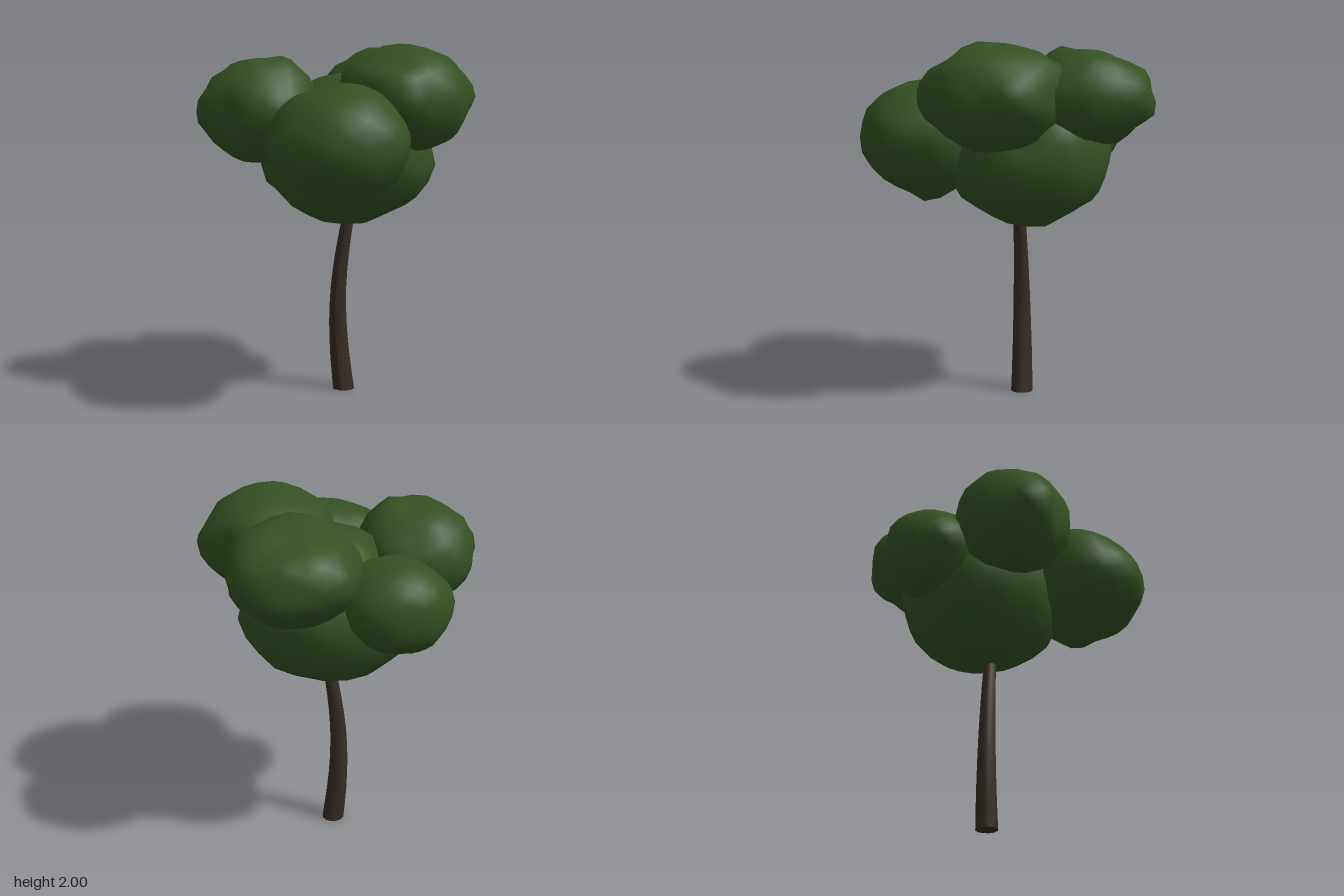
import * as THREE from 'three';
import { mergeVertices } from 'three/addons/utils/BufferGeometryUtils.js';

const leafGreen = new THREE.MeshStandardMaterial({ color: 0x345122 });
leafGreen.name = 'leafGreen';
const barkBrown = new THREE.MeshStandardMaterial({ color: 0x372c23 });
barkBrown.name = 'barkBrown';

// Small seeded random generator
function seeded(seed) {
  let s = seed * 7919 + 13;
  return () => (s = (s * 16807) % 2147483647) / 2147483647;
}

// Lumpy ball of leaves: an ellipsoid pulled out to three outlines through its
// centre, front [x, y], side [z, y] and top [x, z]
function foliageClump(name, seed, center, radii, { front = [], side = [], top = [] }) {
  const rand = seeded(seed);
  const c = new THREE.Vector3(...center);
  const r = new THREE.Vector3(...radii);
  const bulges = [
    ...front.map(([x, y]) => new THREE.Vector3(x, y, c.z)),
    ...side.map(([z, y]) => new THREE.Vector3(c.x, y, z)),
    ...top.map(([x, z]) => new THREE.Vector3(x, c.y, z)),
  ].map((p) => {
    p.sub(c).divide(r);
    const reach = p.length();
    return { dir: p.normalize(), reach };
  });

  let geo = new THREE.IcosahedronGeometry(1, 4);
  geo.deleteAttribute('normal');
  geo.deleteAttribute('uv');
  geo = mergeVertices(geo, 1e-3);
  const pos = geo.attributes.position;
  const v = new THREE.Vector3();
  for (let i = 0; i < pos.count; i++) {
    v.fromBufferAttribute(pos, i).normalize();
    let sum = 0;
    let weight = 0.06;
    for (const { dir, reach } of bulges) {
      const w = Math.exp(42 * (v.dot(dir) - 1));
      sum += w * (reach - 1);
      weight += w;
    }
    v.multiplyScalar(1.005 + sum / weight + (rand() - 0.5) * 0.035).multiply(r).add(c);
    pos.setXYZ(i, v.x, v.y, v.z);
  }
  geo.computeVertexNormals();
  const mesh = new THREE.Mesh(geo, leafGreen);
  mesh.name = name;
  return mesh;
}

// Tapered trunk bent along a curve
function trunk() {
  const height = 1.2;
  const path = new THREE.CatmullRomCurve3([
    [0.007, 0, -0.062], [-0.015, 0.2, -0.06], [-0.026, 0.4, -0.057], [-0.022, 0.6, -0.055],
    [0, 0.8, -0.054], [0.033, 1, -0.053], [0.07, 1.2, -0.053],
  ].map((p) => new THREE.Vector3(...p)));
  const geo = new THREE.CylinderGeometry(0.03, 0.063, height, 12, 12);
  geo.translate(0, height / 2, 0);
  const pos = geo.attributes.position;
  for (let i = 0; i < pos.count; i++) {
    const y = pos.getY(i);
    const p = path.getPoint(THREE.MathUtils.clamp(y / height, 0, 1));
    pos.setXYZ(i, pos.getX(i) + p.x, y, pos.getZ(i) + p.z);
  }
  geo.computeVertexNormals();
  const mesh = new THREE.Mesh(geo, barkBrown);
  mesh.name = 'trunk';
  return mesh;
}

export function createModel() {
  const tree = new THREE.Group();
  tree.name = 'tree';
  tree.add(trunk());

  // Crown: a central mass ringed by five clumps
  const crown = new THREE.Group();
  crown.name = 'crown';

  crown.add(foliageClump('coreFoliage', 1, [0.03, 1.4, -0.1], [0.5, 0.43, 0.46], {
    front: [[0.13, 1], [0.3, 1.07], [0.42, 1.13], [0.52, 1.3], [0.48, 1.42], [0.35, 1.64],
      [-0.17, 1], [-0.3, 1.09], [-0.47, 1.25], [-0.3, 1.62], [-0.1, 1.82], [0.12, 1.83]],
    side: [[0.28, 1.15], [0.18, 1.07], [-0.05, 0.97], [-0.2, 0.96], [-0.35, 1.06],
      [-0.48, 1.14], [-0.55, 1.3], [-0.56, 1.42], [-0.4, 1.64], [0.2, 1.65], [0.05, 1.81]],
  }));

  crown.add(foliageClump('frontFoliage', 2, [0.15, 1.47, 0.46], [0.37, 0.33, 0.36], {
    front: [[-0.24, 1.45], [-0.22, 1.62], [-0.12, 1.73], [0.05, 1.77], [0.27, 1.78], [0.43, 1.66],
      [0.52, 1.5], [0.47, 1.37], [0.33, 1.22], [0.12, 1.12], [0, 1.22], [-0.17, 1.32]],
    side: [[0.84, 1.42], [0.81, 1.57], [0.61, 1.76], [0.42, 1.79], [0.22, 1.77], [0.11, 1.66],
      [0.73, 1.3], [0.6, 1.21], [0.42, 1.12], [0.25, 1.22]],
    top: [[-0.24, 0.53], [-0.2, 0.64], [-0.08, 0.78], [0.17, 0.83], [0.25, 0.81], [0.45, 0.67],
      [0.53, 0.55], [0.48, 0.44], [-0.12, 0.2], [0.05, 0.1]],
  }));

  crown.add(foliageClump('leftFoliage', 3, [0.37, 1.71, 0.03], [0.37, 0.29, 0.39], {
    front: [[0.4, 2], [0.55, 1.96], [0.66, 1.89], [0.73, 1.78], [0.73, 1.64], [0.69, 1.54],
      [0.62, 1.47], [0.5, 1.42], [0.2, 1.94], [0.04, 1.84]],
    side: [[0.12, 2], [-0.05, 1.98], [-0.22, 1.94], [-0.36, 1.85], [-0.32, 1.72], [-0.32, 1.58],
      [-0.15, 1.43], [0, 1.43], [0.2, 1.46], [0.3, 1.53], [0.43, 1.69], [0.4, 1.83], [0.27, 1.9]],
    top: [[0.36, -0.37], [0.56, -0.29], [0.66, -0.25], [0.73, -0.17], [0.7, 0.05], [0.72, 0.2],
      [0.62, 0.29], [0.49, 0.43], [0.3, 0.38], [0.18, 0.34], [0.07, 0.17], [0, 0.04], [0.05, -0.1]],
  }));

  crown.add(foliageClump('backFoliage', 4, [0.14, 1.71, -0.46], [0.36, 0.27, 0.34], {
    front: [[-0.15, 1.85], [0, 1.92], [0.1, 1.95], [0.28, 1.96]],
    side: [[-0.28, 1.97], [-0.47, 1.94], [-0.62, 1.89], [-0.77, 1.83], [-0.77, 1.72], [-0.83, 1.63],
      [-0.7, 1.54], [-0.6, 1.45], [-0.45, 1.47], [-0.3, 1.53]],
    top: [[-0.15, -0.71], [0, -0.78], [0.19, -0.82], [0.35, -0.76], [0.45, -0.6], [0.49, -0.42],
      [0.5, -0.3], [0.33, -0.2], [0.08, -0.12], [-0.15, -0.22], [-0.22, -0.45]],
  }));

  crown.add(foliageClump('rightFoliage', 5, [-0.41, 1.63, 0.17], [0.32, 0.3, 0.32], {
    front: [[-0.73, 1.62], [-0.7, 1.78], [-0.57, 1.88], [-0.4, 1.91], [-0.25, 1.92], [-0.14, 1.82],
      [-0.25, 1.4], [-0.4, 1.34], [-0.58, 1.4], [-0.72, 1.53]],
    side: [[0.27, 1.92], [0.4, 1.83], [0.06, 1.88], [-0.06, 1.79]],
    top: [[-0.72, 0.03], [-0.6, -0.08], [-0.36, -0.14], [-0.25, -0.1], [-0.09, 0.18], [-0.13, 0.36],
      [-0.2, 0.45], [-0.39, 0.5], [-0.51, 0.43], [-0.61, 0.45], [-0.7, 0.38], [-0.73, 0.17]],
  }));

  crown.add(foliageClump('backRightFoliage', 6, [-0.37, 1.5, -0.3], [0.3, 0.25, 0.28], {
    front: [[-0.62, 1.35], [-0.54, 1.27], [-0.44, 1.26], [-0.14, 1.68]],
    side: [[-0.1, 1.7]],
    top: [[-0.64, -0.13], [-0.64, -0.4], [-0.5, -0.53], [-0.4, -0.57], [-0.22, -0.55], [-0.12, -0.48],
      [-0.58, -0.08], [-0.07, -0.2]],
  }));

  tree.add(crown);
  return tree;
}
